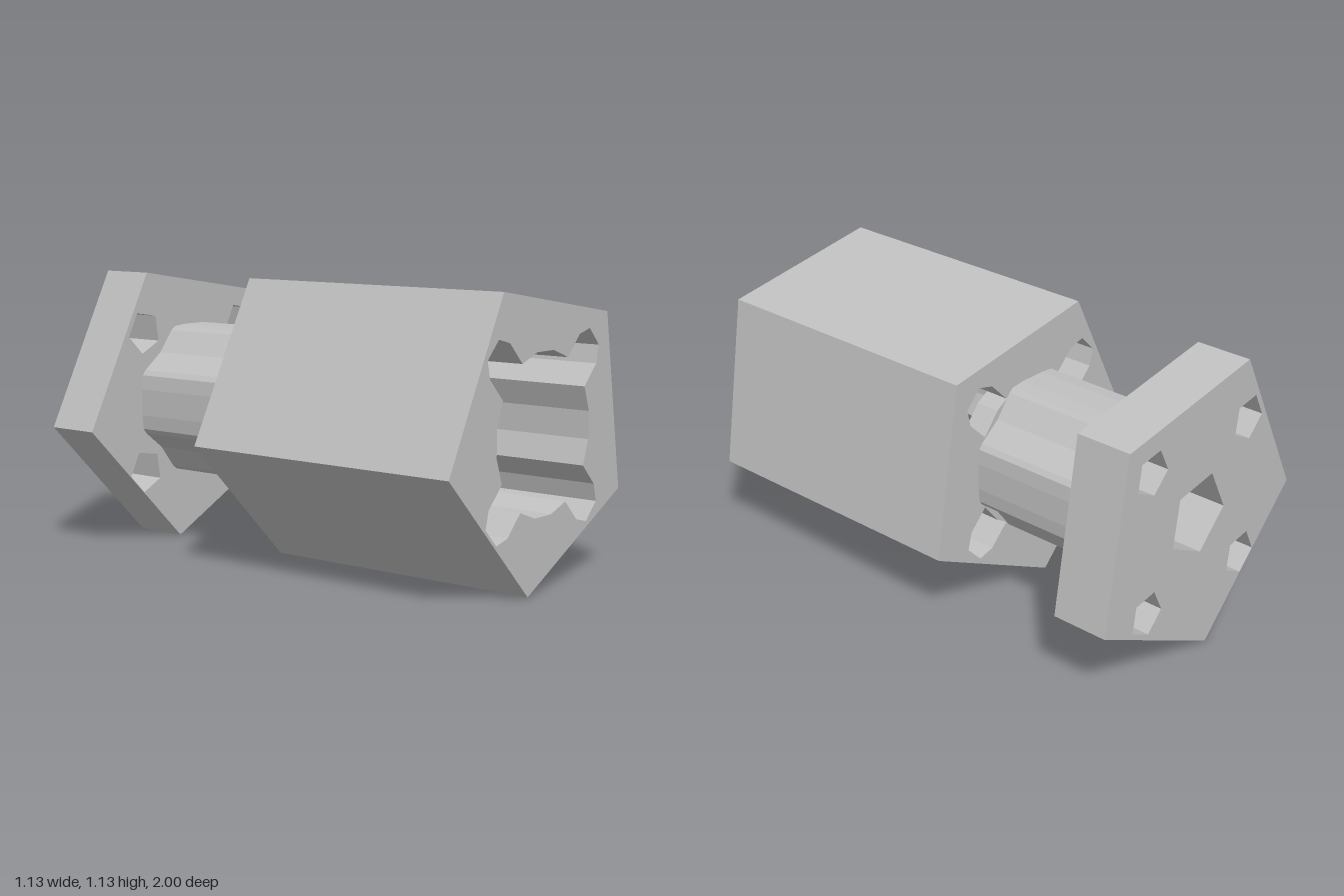
import * as THREE from 'three';

const CX = 0.029, CY = 0.593;
const DEG = Math.PI / 180;

// Regular polygon outline
function polygon(r, sides, startDeg, x = 0, y = 0) {
  return Array.from({ length: sides }, (_, i) => {
    const a = startDeg * DEG + (i * 2 * Math.PI) / sides;
    return new THREE.Vector2(x + r * Math.cos(a), y + r * Math.sin(a));
  });
}

const pentagon = (r, x, y) => polygon(r, 5, -99, x, y);

// Repeat an outline section four times, a quarter turn apart
function fourfold(section) {
  const pts = [];
  for (let k = 0; k < 4; k++) {
    for (const [x, y] of section) {
      pts.push(new THREE.Vector2(x, y).rotateAround(new THREE.Vector2(), (k * Math.PI) / 2));
    }
  }
  return pts;
}

export function createModel() {
  const group = new THREE.Group();
  const metal = new THREE.MeshStandardMaterial({ color: 0xc0c0c0 });
  metal.name = 'light grey';

  function addPart(name, outline, holes, zBack, zFront) {
    const shape = new THREE.Shape(outline);
    shape.holes = holes.map((h) => new THREE.Path(h));
    const geometry = new THREE.ExtrudeGeometry(shape, { depth: zFront - zBack, bevelEnabled: false });
    const mesh = new THREE.Mesh(geometry, metal);
    mesh.name = name;
    mesh.position.set(CX, CY, zBack);
    group.add(mesh);
  }

  // Bore with a slot on each diagonal: bore facets, then the slot along 45 degrees
  const slot = [[0.298, -0.085], [0.412, -0.085], [0.473, -0.048], [0.473, 0.048], [0.412, 0.085], [0.298, 0.085]];
  const bore = fourfold([
    [0.31 * Math.cos(-10 * DEG), 0.31 * Math.sin(-10 * DEG)],
    [0.31 * Math.cos(10 * DEG), 0.31 * Math.sin(10 * DEG)],
    ...slot.map(([u, v]) => [(u - v) * Math.SQRT1_2, (u + v) * Math.SQRT1_2]),
  ]);
  addPart('body', pentagon(0.6), [bore], -0.2, 1);

  // Bore floor
  addPart('boreFloor', polygon(0.311, 18, 10), [], -0.2, -0.1);

  // Neck with a concave flute on each diagonal
  const neck = fourfold([
    [0.309, -0.054], [0.309, 0.054], [0.303, 0.112], [0.288, 0.132],
    [0.2, 0.2], [0.132, 0.288], [0.112, 0.303],
  ]);
  addPart('neck', neck, [], -0.775, -0.19);

  // Mounting flange with four bolt holes and a central socket
  const boltHoles = [[1, 1], [-1, 1], [-1, -1], [1, -1]].map(([x, y]) => pentagon(0.09, 0.29 * x, 0.29 * y));
  addPart('flange', pentagon(0.6), [pentagon(0.165), ...boltHoles], -1, -0.77);

  return group;
}
